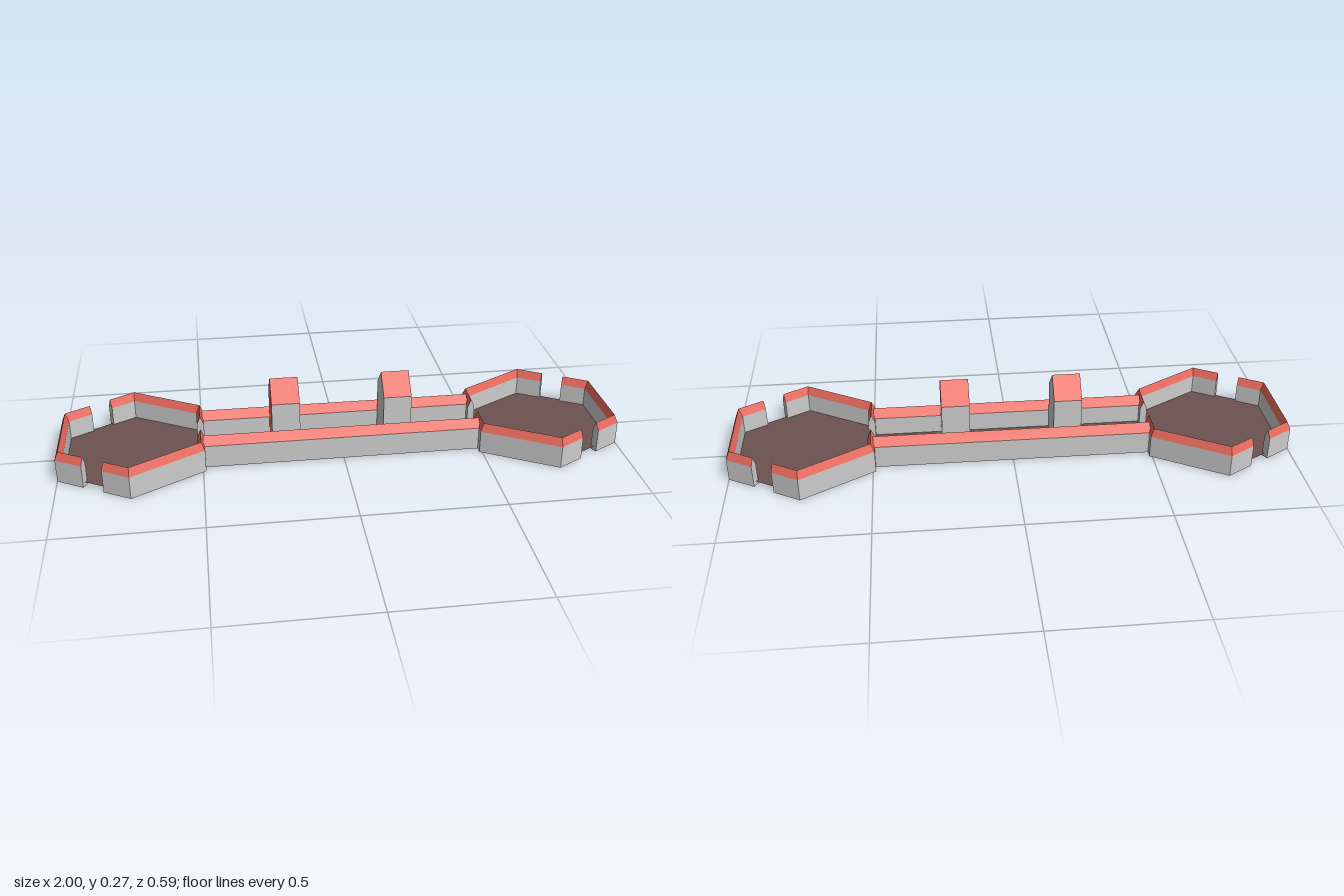
import * as THREE from 'three';

const wallMat = new THREE.MeshStandardMaterial({ color: 0xcccccc, flatShading: true });
const redMat = new THREE.MeshStandardMaterial({ color: 0xe8695c, flatShading: true });
const floorMat = new THREE.MeshStandardMaterial({ color: 0x6b5250, side: THREE.DoubleSide });

const EAVE = 0.083, RIDGE = 0.113, FLOOR = 0.014;
const HEX_X = 0.745, HEX_R = 0.294;

// Flat-shaded mesh from a list of convex polygons
function polyMesh(name, polygons, material) {
  const pos = [];
  for (const p of polygons)
    for (let i = 1; i < p.length - 1; i++) pos.push(...p[0], ...p[i], ...p[i + 1]);
  const geo = new THREE.BufferGeometry();
  geo.setAttribute('position', new THREE.Float32BufferAttribute(pos, 3));
  geo.computeVertexNormals();
  const mesh = new THREE.Mesh(geo, material);
  mesh.name = name;
  return mesh;
}

// Wall with a ridged red coping and a dark underside;
// path is its outer line [x, z], mitred at corners
function ridgedWall(name, path, thick) {
  const normals = path.slice(1).map(([x, z], i) => {
    const dx = x - path[i][0], dz = z - path[i][1], l = Math.hypot(dx, dz);
    return [dz / l, -dx / l];
  });
  const profile = [[0, 0], [0, EAVE], [thick / 2, RIDGE], [thick, EAVE], [thick, 0]];
  const rings = path.map(([x, z], i) => {
    const a = normals[Math.max(i - 1, 0)], b = normals[Math.min(i, normals.length - 1)];
    const k = 1 / (1 + a[0] * b[0] + a[1] * b[1]);
    return profile.map(([o, y]) => [x + (a[0] + b[0]) * k * o, y, z + (a[1] + b[1]) * k * o]);
  });
  const body = [rings[0], [...rings[rings.length - 1]].reverse()], coping = [], underside = [];
  const target = [body, coping, coping, body, underside];
  for (let i = 0; i < rings.length - 1; i++) {
    for (let j = 0; j < 5; j++) {
      const n = (j + 1) % 5;
      target[j].push([rings[i][j], rings[i + 1][j], rings[i + 1][n], rings[i][n]]);
    }
  }
  const g = new THREE.Group();
  g.name = name;
  g.add(
    polyMesh(name + 'Body', body, wallMat),
    polyMesh(name + 'Coping', coping, redMat),
    polyMesh(name + 'Underside', underside, floorMat)
  );
  return g;
}

// Flat floor sheet from an outline of [x, z] points
function floorSheet(name, points) {
  const shape = new THREE.Shape(points.map(([x, z]) => new THREE.Vector2(x, -z)));
  const mesh = new THREE.Mesh(new THREE.ShapeGeometry(shape).rotateX(-Math.PI / 2), floorMat);
  mesh.name = name;
  mesh.position.y = FLOOR;
  return mesh;
}

// Hexagonal end area with two gaps in its outer sides and an opening to the lane
function hexEnd(name) {
  const g = new THREE.Group();
  g.name = name;
  const t = 0.025, tip = HEX_R, side = HEX_R / 2, inner = 0.49;
  g.add(
    ridgedWall('endWall', [[0.908, 0.2], [1, side], [1, -side], [0.908, -0.2]], t),
    ridgedWall('backSideWall', [[0.838, -0.24], [HEX_X, -tip], [inner, -side], [inner, -0.046]], t),
    ridgedWall('frontSideWall', [[inner, 0.046], [inner, side], [HEX_X, tip], [0.838, 0.24]], t)
  );
  const outline = [];
  for (let i = 0; i < 6; i++) {
    const a = (i + 0.5) * Math.PI / 3, r = HEX_R - 0.016;
    outline.push([HEX_X + r * Math.cos(a), r * Math.sin(a)]);
  }
  g.add(floorSheet('hexFloor', outline));
  return g;
}

// Gabled block standing across the lane; its base and -x gable share endMat
function gabledBlock(name, x, endMat) {
  const w = 0.05, d = 0.069, eave = 0.203, apex = 0.273;
  const outline = [[d, 0], [d, eave], [0, apex], [-d, eave], [-d, 0]];
  const end = (s) => outline.map(([z, y]) => [s * w, y, z]);
  const L = end(-1), R = end(1);
  const quad = (i, j) => [L[i], R[i], R[j], L[j]];
  const g = new THREE.Group();
  g.name = name;
  g.position.x = x;
  g.add(
    polyMesh(name + 'Body', [[...R].reverse(), quad(0, 1), quad(3, 4)], wallMat),
    polyMesh(name + 'Roof', [quad(1, 2), quad(2, 3)], redMat),
    polyMesh(name + 'EndAndBase', [L, quad(4, 0)], endMat)
  );
  return g;
}

export function createModel() {
  const model = new THREE.Group();
  model.name = 'course';

  // Hexagonal ends
  const left = hexEnd('leftEnd');
  const right = hexEnd('rightEnd');
  right.rotation.y = Math.PI;
  model.add(left, right);

  // Lane walls and floor
  const lx = 0.495, lz = 0.12, fx = 0.505, fz = 0.075;
  model.add(
    ridgedWall('frontLaneWall', [[-lx, lz], [lx, lz]], 0.05),
    ridgedWall('backLaneWall', [[lx, -lz], [-lx, -lz]], 0.05),
    floorSheet('laneFloor', [[-fx, fz], [fx, fz], [fx, -fz], [-fx, -fz]])
  );

  // Two obstacles
  model.add(gabledBlock('leftObstacle', 0.2, wallMat), gabledBlock('rightObstacle', -0.2, redMat));
  return model;
}
